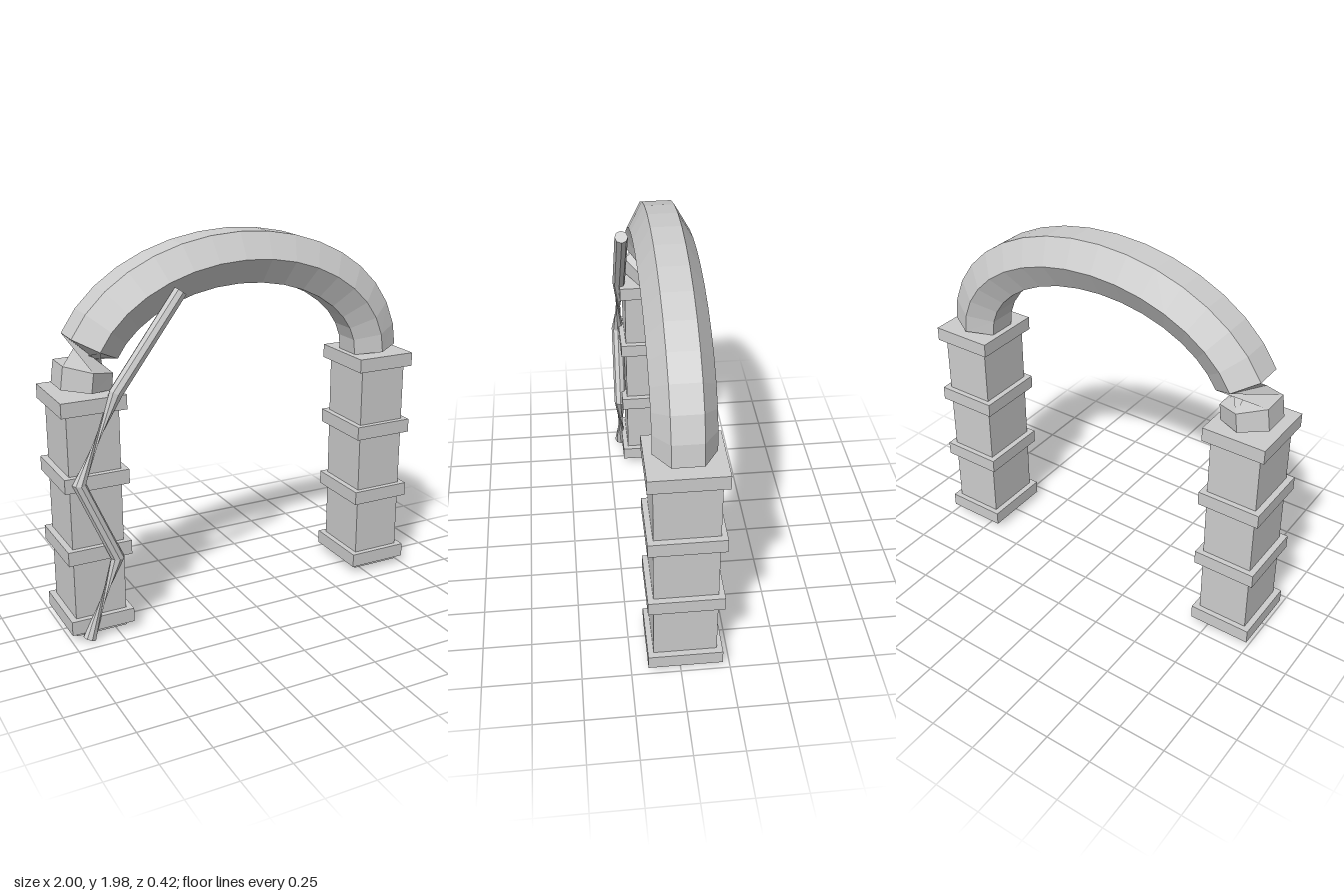
import * as THREE from 'three';

const stone = new THREE.MeshStandardMaterial({ color: 0xcccccc, flatShading: true, side: THREE.DoubleSide });
stone.name = 'pale grey stone';

const Z_MID = -0.023;

// Capped faceted tube along a path in x and y; each ring lies across the averaged
// direction of its neighbours. A ring listed in flips is turned half round, which
// pinches the tube between it and an unflipped ring.
function facetedTube(name, points, radius, sides, flips) {
  const positions = [], index = [];
  const count = points.length;
  const dir = (a, b) => new THREE.Vector3().subVectors(b, a).normalize();
  points.forEach((p, i) => {
    const tangent = new THREE.Vector3();
    if (i > 0) tangent.add(dir(points[i - 1], p));
    if (i < count - 1) tangent.add(dir(p, points[i + 1]));
    tangent.normalize();
    const across = new THREE.Vector3(-tangent.y, tangent.x, 0);
    for (let k = 0; k < sides; k++) {
      const angle = (k / sides) * Math.PI * 2 + (flips.includes(i) ? Math.PI : 0);
      const s = Math.sin(angle) * radius;
      positions.push(p.x + across.x * s, p.y + across.y * s, p.z + Math.cos(angle) * radius);
    }
  });
  for (let i = 0; i < count - 1; i++) {
    for (let k = 0; k < sides; k++) {
      const a = i * sides + k, b = i * sides + (k + 1) % sides;
      index.push(a, a + sides, b, b, a + sides, b + sides);
    }
  }
  // End caps
  const last = (count - 1) * sides;
  for (let k = 1; k < sides - 1; k++) {
    index.push(0, k, k + 1, last, last + k + 1, last + k);
  }
  const geometry = new THREE.BufferGeometry();
  geometry.setAttribute('position', new THREE.Float32BufferAttribute(positions, 3));
  // Wind the faces outward
  for (let i = 0; i < index.length; i += 3) [index[i + 1], index[i + 2]] = [index[i + 2], index[i + 1]];
  geometry.setIndex(index);
  const flat = geometry.toNonIndexed();
  flat.computeVertexNormals();
  const mesh = new THREE.Mesh(flat, stone);
  mesh.name = name;
  return mesh;
}

function box(name, w, h, d, y) {
  const mesh = new THREE.Mesh(new THREE.BoxGeometry(w, h, d), stone);
  mesh.name = name;
  mesh.position.y = y;
  return mesh;
}

// Square shaft with four evenly spaced bands
function pillar(name, x) {
  const group = new THREE.Group();
  group.name = name;
  group.add(box('shaft', 0.268, 1.24, 0.318, 0.64));
  for (let i = 0; i < 4; i++) group.add(box('band', 0.332, 0.074, 0.376, 0.082 + i * 0.382));
  group.position.set(x, 0, Z_MID);
  return group;
}

export function createModel() {
  const model = new THREE.Group();
  model.name = 'brokenArchway';
  model.add(pillar('leftPillar', 0.834), pillar('rightPillar', -0.834));

  // Half-elliptical hexagonal arch, broken near its right foot
  const archPath = [];
  for (let i = 0; i <= 18; i++) {
    const t = (i / 18) * Math.PI;
    archPath.push(new THREE.Vector3(-0.83 * Math.cos(t), 1.28 + 0.57 * Math.sin(t), Z_MID));
  }
  model.add(facetedTube('arch', archPath, 0.15, 6, [0, 1]));

  // Zigzag stem climbing the front of the right pillar
  const stemPath = [
    [-0.914, 0.014, 0.17], [-0.75, 0.43, 0.175], [-0.93, 0.85, 0.17],
    [-0.725, 1.28, 0.167], [-0.38, 1.74, 0.167],
  ].map((p) => new THREE.Vector3(...p));
  model.add(facetedTube('climbingStem', stemPath, 0.035, 8, [1, 2]));

  return model;
}
